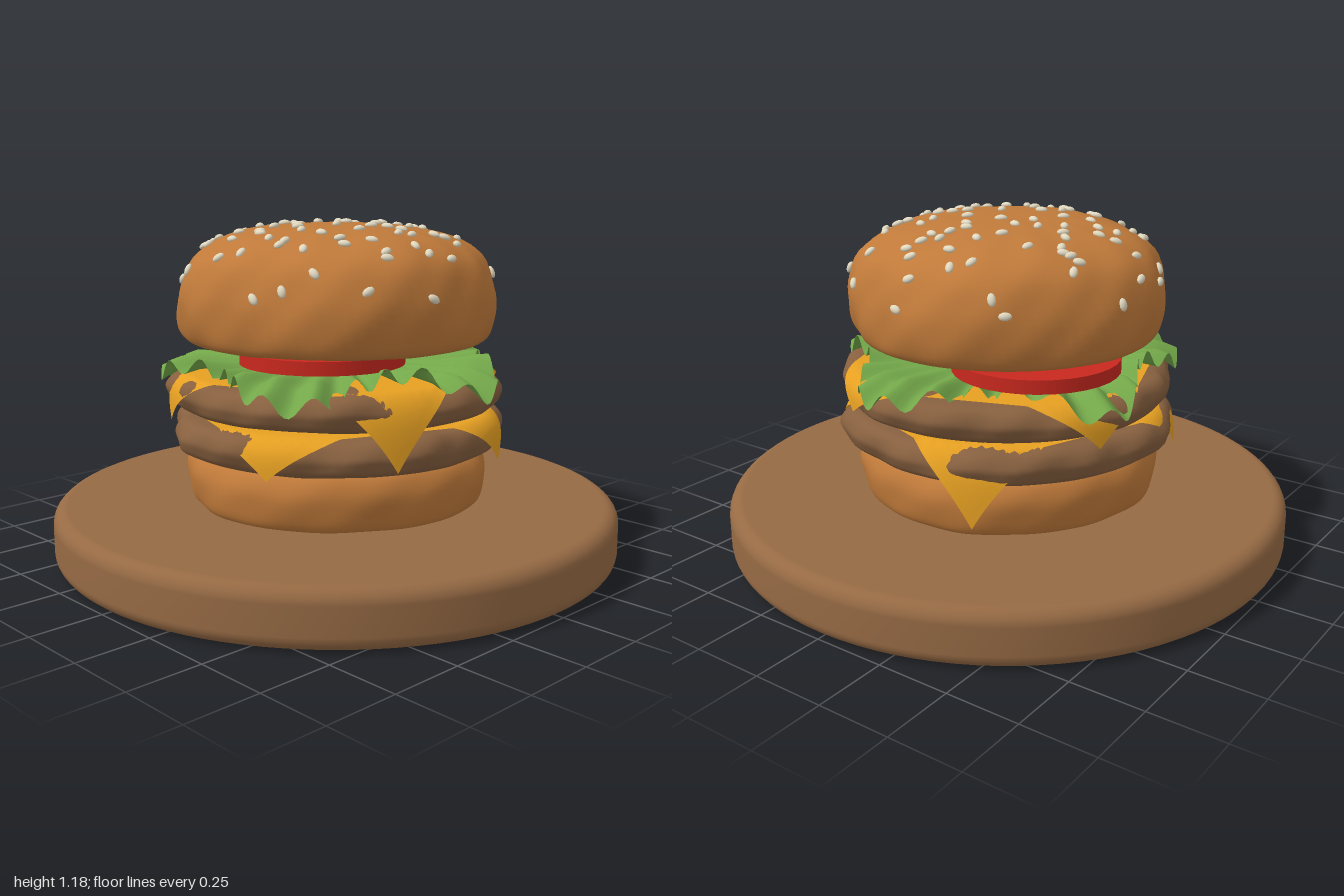
import * as THREE from 'three';
import { mergeVertices, mergeGeometries } from 'three/addons/utils/BufferGeometryUtils.js';

const material = (name, color, side = THREE.FrontSide) =>
  Object.assign(new THREE.MeshStandardMaterial({ color, side }), { name });

// Repeatable pseudo-random numbers
function seeded(s) {
  return () => (s = (s * 16807) % 2147483647) / 2147483647;
}

function addMesh(parent, name, geometry, mat) {
  const mesh = new THREE.Mesh(geometry, mat);
  mesh.name = name;
  parent.add(mesh);
  return mesh;
}

// Smooth profile through a few [radius, height] points, listed bottom to top
const profile = (points) => new THREE.SplineCurve(points.map(([r, y]) => new THREE.Vector2(r, y)));

// Gentle lumps around the body
const lump = (a, y, f, phase) =>
  0.5 * Math.sin(f * a + phase + 9 * y) + 0.3 * Math.sin((2 * f + 1) * a - 14 * y + phase * 2) +
  0.2 * Math.sin((3 * f + 2) * a + 31 * y);

// Lathe whose surface is pushed in and out by the lumps
function lumpyLathe(curve, amount, freq, phase, lift = 0) {
  const g = new THREE.LatheGeometry(curve.getPoints(44).map((p) => new THREE.Vector2(Math.max(p.x, 0), p.y)), 96);
  const pos = g.attributes.position;
  for (let i = 0; i < pos.count; i++) {
    const x = pos.getX(i), y = pos.getY(i), z = pos.getZ(i);
    const r = Math.hypot(x, z), a = Math.atan2(z, x);
    const n = lump(a, y, freq, phase) * Math.min(1, r / 0.4);
    const k = 1 + (amount * n) / 0.55;
    pos.setXYZ(i, x * k, y + lift * n * Math.min(1, r / 0.4), z * k);
  }
  g.deleteAttribute('uv');
  g.deleteAttribute('normal');
  const merged = mergeVertices(g, 1e-4);
  merged.computeVertexNormals();
  return merged;
}

// Square slice that folds down over the edge; each corner has its own droop
function cheeseSlice(top, turn, droops) {
  const g = new THREE.PlaneGeometry(1, 1, 40, 40).rotateX(-Math.PI / 2);
  const pos = g.attributes.position;
  for (let i = 0; i < pos.count; i++) {
    const x = pos.getX(i), z = pos.getZ(i);
    const a = Math.atan2(z, x), r = Math.hypot(x, z);
    const quadrant = Math.floor(((a + 2 * Math.PI) % (2 * Math.PI)) / (Math.PI / 2)) % 4;
    const over = Math.max(0, r - 0.54);
    const out = Math.min(r, 0.54) + 0.055 * (1 - Math.exp(-over / 0.035));
    pos.setXYZ(i, out * Math.cos(a + turn), top - droops[quadrant] * over, out * Math.sin(a + turn));
  }
  g.computeVertexNormals();
  return g;
}

// Five-lobed leaf with a ruffled rim
function lettuceLeaf() {
  const g = new THREE.RingGeometry(0, 1, 240, 12).rotateX(-Math.PI / 2);
  const pos = g.attributes.position;
  for (let i = 0; i < pos.count; i++) {
    const x = pos.getX(i), z = pos.getZ(i);
    const t = Math.hypot(x, z), a = Math.atan2(z, x);
    const r = t * (0.555 + 0.075 * Math.cos(5 * (a - 0.12)) + 0.012 * Math.sin(3 * a));
    const ruffle = 0.03 * Math.sin(26 * a + 0.6 * Math.sin(3 * a)) + 0.015 * Math.sin(7 * a + 1);
    const y = 0.685 + t * t * t * ruffle - 0.55 * Math.max(0, r - 0.53);
    pos.setXYZ(i, r * Math.cos(a), y, r * Math.sin(a));
  }
  g.computeVertexNormals();
  return g;
}

// Seeds scattered over the bun top, lying flat on the surface
function sesameSeeds(curve, count) {
  const rand = seeded(4217), seeds = [];
  const up = new THREE.Vector3(0, 1, 0);
  for (let i = 0; i < count; i++) {
    const reach = 0.04 + 0.5 * Math.sqrt((i + 0.5) / count);
    // Walk down the dome until the profile has the wanted radius, then carry on down the side
    let u = 1;
    while (u > 0.5 && curve.getPoint(u).x < Math.min(reach, 0.53)) u -= 0.004;
    if (reach > 0.49) u -= rand() * 0.06;
    const p = curve.getPoint(u), tan = curve.getTangent(u);
    const a = i * 2.39996 + (rand() - 0.5) * 0.7;
    const normal = new THREE.Vector3(tan.y * Math.cos(a), -tan.x, tan.y * Math.sin(a)).normalize();
    const q = new THREE.Quaternion().setFromUnitVectors(up, normal)
      .multiply(new THREE.Quaternion().setFromAxisAngle(up, rand() * Math.PI));
    const k = 1 + 0.014 * lump(a, p.y, 5, 1) * Math.min(1, p.x / 0.4) / 0.55;
    const at = new THREE.Vector3(p.x * k * Math.cos(a), p.y, p.x * k * Math.sin(a)).addScaledVector(normal, 0.003);
    seeds.push(new THREE.SphereGeometry(1, 10, 7)
      .applyMatrix4(new THREE.Matrix4().compose(at, q, new THREE.Vector3(0.022, 0.011, 0.014))));
  }
  return mergeGeometries(seeds);
}

export function createModel() {
  const group = new THREE.Group();
  group.name = 'burgerOnBoard';
  const wood = material('wood', 0x966a44);
  const bread = material('bread', 0xc07a3a);
  const meat = material('meat', 0x87603f);
  const cheese = material('cheese', 0xe6a022, THREE.DoubleSide);
  const lettuce = material('lettuce', 0x74a84a, THREE.DoubleSide);
  const tomato = material('tomato', 0xc9281e);
  const sesame = material('sesame', 0xe2d9c0);

  // Round board with softened rims
  const rim = [[0, 0], [0.95, 0]];
  for (const [cy, start] of [[0.05, -Math.PI / 2], [0.145, 0]]) {
    for (let i = 0; i <= 6; i++) {
      const a = start + (i / 6) * (Math.PI / 2);
      rim.push([0.95 + 0.05 * Math.cos(a), cy + 0.05 * Math.sin(a)]);
    }
  }
  rim.push([0, 0.195]);
  addMesh(group, 'board', new THREE.LatheGeometry(rim.map(([r, y]) => new THREE.Vector2(r, y)), 96), wood);

  // Bottom bun
  const bottomBun = profile([[0, 0.197], [0.25, 0.197], [0.46, 0.197], [0.51, 0.205], [0.53, 0.27],
    [0.53, 0.33], [0.5, 0.38], [0.44, 0.395], [0.25, 0.395], [0, 0.395]]);
  addMesh(group, 'bottomBun', lumpyLathe(bottomBun, 0.01, 4, 0.5), bread);

  // Two patties, each under a slice of cheese
  const patties = [
    { y: 0.385, h: 0.125, phase: 0.4, turn: 0.36, droops: [0.9, 0.8, 0.9, 1.55] },
    { y: 0.53, h: 0.12, phase: 2.6, turn: -0.35, droops: [0.63, 1.47, 0.9, 0.9] },
  ];
  patties.forEach(({ y, h, phase, turn, droops }, i) => {
    const shape = profile([[0, y], [0.3, y], [0.5, y], [0.555, y + 0.1 * h], [0.575, y + 0.35 * h],
      [0.58, y + 0.6 * h], [0.555, y + 0.9 * h], [0.5, y + h], [0.3, y + h], [0, y + h]]);
    addMesh(group, 'patty' + (i + 1), lumpyLathe(shape, 0.022, 5, phase, 0.008), meat);
    addMesh(group, 'cheeseSlice' + (i + 1), cheeseSlice(y + h + 0.006, turn, droops), cheese);
  });

  addMesh(group, 'lettuce', lettuceLeaf(), lettuce);

  // Overlapping tomato slices
  [[0.19, -0.25, 0.732], [-0.18, 0.12, 0.73]].forEach(([x, z, y], i) => {
    addMesh(group, 'tomatoSlice' + (i + 1), new THREE.CylinderGeometry(0.28, 0.28, 0.046, 32), tomato)
      .position.set(x, y, z);
  });

  // Domed top bun and its seeds
  const topBun = profile([[0, 0.785], [0.25, 0.78], [0.43, 0.765], [0.5, 0.758], [0.535, 0.785], [0.552, 0.86],
    [0.545, 0.95], [0.5, 1.05], [0.4, 1.115], [0.25, 1.15], [0.12, 1.16], [0, 1.162]]);
  addMesh(group, 'topBun', lumpyLathe(topBun, 0.014, 5, 1, 0.004), bread);
  addMesh(group, 'sesameSeeds', sesameSeeds(topBun, 92), sesame);

  return group;
}
